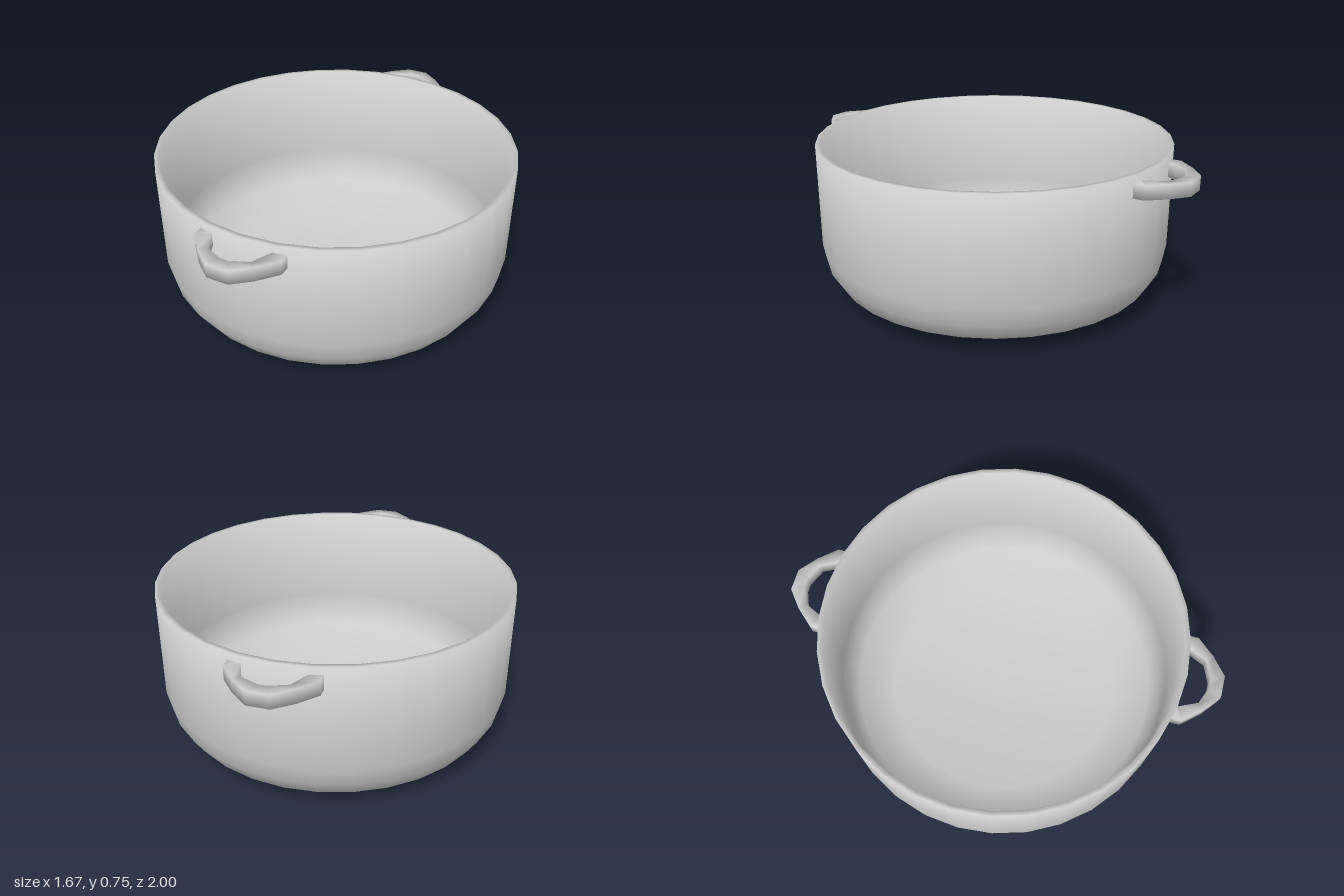
import * as THREE from 'three';

const material = new THREE.MeshStandardMaterial({ color: 0xcccccc });
const SEGMENTS = 32;

// Revolved closed shell, shaded smoothly across every ring, with each profile segment weighted equally.
function potGeometry() {
  const profile = [
    [0, 0], [0.583, 0], [0.765, 0.09], [0.815, 0.17], [0.835, 0.26], [0.835, 0.755], // outside
    [0.813, 0.755], [0.813, 0.265], [0.794, 0.18], [0.75, 0.105], [0.577, 0.022], [0, 0.022], // inside
  ].map(([r, y]) => new THREE.Vector2(r, y));
  const geometry = new THREE.LatheGeometry(profile, SEGMENTS);

  const facing = profile.slice(1).map((p, i) => {
    const d = p.clone().sub(profile[i]).normalize();
    return new THREE.Vector2(d.y, -d.x);
  });
  const normals = geometry.attributes.normal;
  for (let i = 0; i <= SEGMENTS; i++) {
    const angle = (i / SEGMENTS) * Math.PI * 2;
    profile.forEach((p, j) => {
      const before = facing[Math.max(j - 1, 0)];
      const after = facing[Math.min(j, facing.length - 1)];
      const n = before.clone().add(after).normalize();
      normals.setXYZ(i * profile.length + j, n.x * Math.sin(angle), n.y, n.x * Math.cos(angle));
    });
  }
  return geometry;
}

// Lofts a four-sided bar between an outer and an inner path; its open ends sit inside the pot wall.
function handleGeometry() {
  const half = [ // outer x, outer z, inner x, inner z
    [-0.2, 0.797, -0.135, 0.81],
    [-0.2, 0.855, -0.14, 0.825],
    [-0.13, 0.935, -0.1, 0.91],
    [-0.05, 1.0, -0.02, 0.943],
  ];
  const stations = [...half, ...half.slice().reverse().map(([a, b, c, d]) => [-a, b, -c, d])];
  const section = [[0, 0.655], [1, 0.655], [1, 0.72], [0, 0.72]]; // across (0 inner, 1 outer), height
  const n = section.length;
  const positions = [];
  const index = [];
  stations.forEach(([ox, oz, ix, iz], i) => {
    section.forEach(([t, y], j) => {
      positions.push(ix + (ox - ix) * t, y, iz + (oz - iz) * t);
      if (i === 0) return;
      const a = (i - 1) * n + j, b = (i - 1) * n + (j + 1) % n;
      index.push(a, a + n, b, b, a + n, b + n);
    });
  });
  const geometry = new THREE.BufferGeometry();
  geometry.setAttribute('position', new THREE.Float32BufferAttribute(positions, 3));
  geometry.setIndex(index);
  geometry.computeVertexNormals();
  return geometry;
}

export function createModel() {
  const model = new THREE.Group();
  model.name = 'cookingPot';

  const pot = new THREE.Mesh(potGeometry(), material);
  pot.name = 'potBody';
  model.add(pot);

  // Loop handles at front and back
  const geometry = handleGeometry();
  [['frontHandle', 0], ['backHandle', Math.PI]].forEach(([name, turn]) => {
    const handle = new THREE.Mesh(geometry, material);
    handle.name = name;
    handle.rotation.y = turn;
    model.add(handle);
  });
  return model;
}
